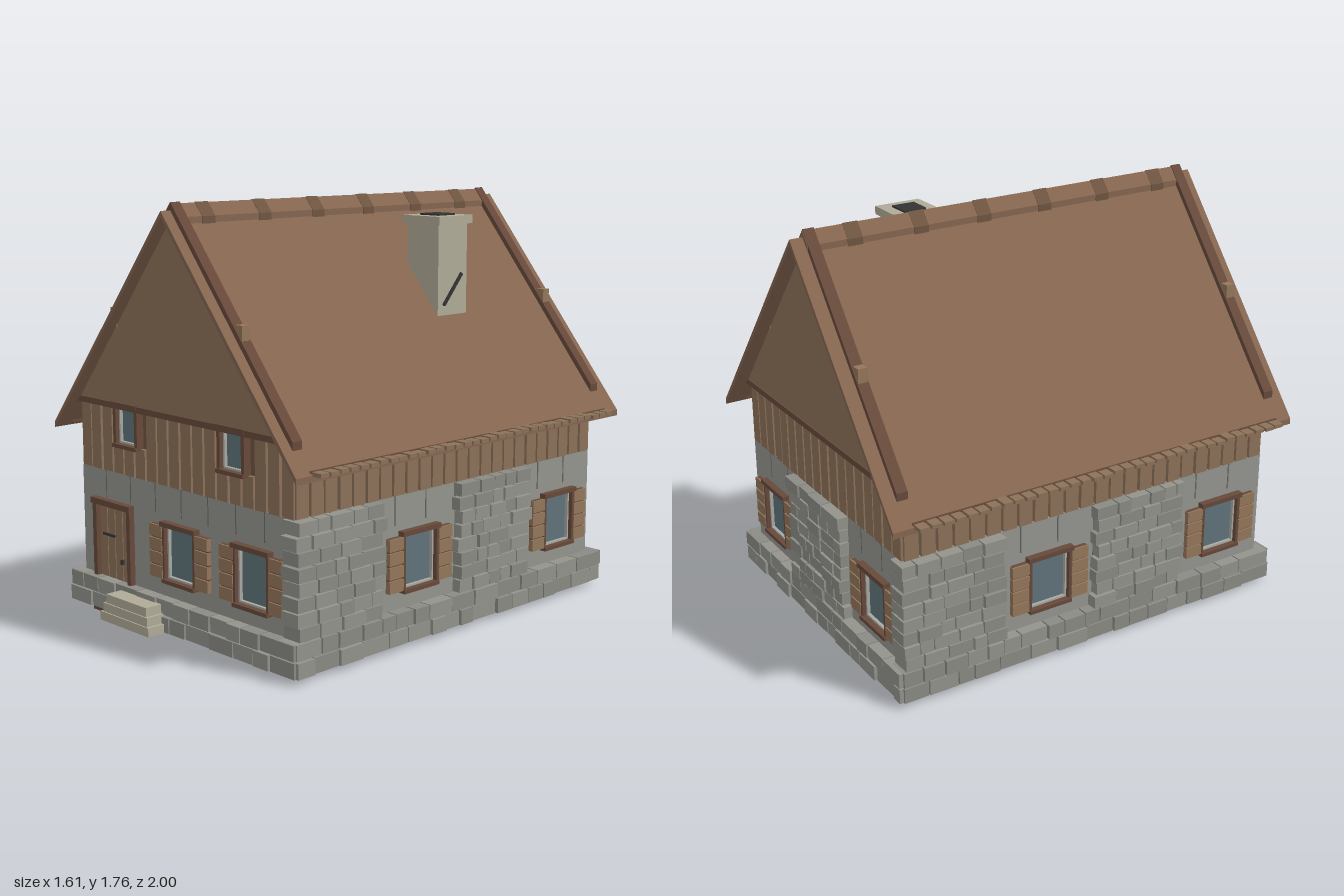
import * as THREE from 'three';

const mat = (color) => new THREE.MeshStandardMaterial({ color, flatShading: true });
const M = {
  wall: mat(0x95958f), stone: mat(0x8b8b85), stone2: mat(0x93938c), seam: mat(0x6c6c68),
  roof: mat(0x856650), timber: mat(0x8c7259), timberDark: mat(0x6f5541), frame: mat(0x67493a),
  slat: mat(0x94765a), cream: mat(0xb0ab98), glass: mat(0x60737a), pane: mat(0xa9a9a2), dark: mat(0x343434),
};
const ZC = -0.024; // middle of the house along z
const SLOPE = 1.22, RIDGE = 1.73;

let seed = 7;
const rnd = () => (seed = (seed * 16807) % 2147483647) / 2147483647;

// Box given by its limits on each axis
function box(parent, name, m, x0, x1, y0, y1, z0, z1) {
  const mesh = new THREE.Mesh(new THREE.BoxGeometry(x1 - x0, y1 - y0, z1 - z0), m);
  mesh.position.set((x0 + x1) / 2, (y0 + y1) / 2, (z0 + z1) / 2);
  mesh.name = name;
  parent.add(mesh);
  return mesh;
}

function extrude(parent, name, m, points, z0, z1, holes = []) {
  const shape = new THREE.Shape(points.map(([x, y]) => new THREE.Vector2(x, y)));
  for (const [x0, x1, y0, y1] of holes) {
    shape.holes.push(new THREE.Path([[x0, y0], [x0, y1], [x1, y1], [x1, y0]].map(([x, y]) => new THREE.Vector2(x, y))));
  }
  const mesh = new THREE.Mesh(new THREE.ExtrudeGeometry(shape, { depth: z1 - z0, bevelEnabled: false }), m);
  mesh.position.z = z0;
  mesh.name = name;
  parent.add(mesh);
  return mesh;
}

const rect = (x0, x1, y0, y1) => [[x0, y0], [x1, y0], [x1, y1], [x0, y1]];

// Courses of irregular blocks on the outside of a wall
function stonework(parent, name, u0, u1, y0, y1, rows, out, size) {
  const g = new THREE.Group();
  g.name = name;
  const h = (y1 - y0) / rows;
  for (let r = 0; r < rows; r++) {
    let u = u0 + rnd() * 0.02;
    const end = u1 - rnd() * 0.02;
    while (u < end - 0.01) {
      let next = u + size * (0.65 + rnd() * 0.7);
      if (end - next < size * 0.45) next = end;
      const y = y0 + r * h;
      box(g, 'stoneBlock', rnd() < 0.5 ? M.stone : M.stone2, u + 0.003, next - 0.003,
        y + 0.003, y + h - 0.003, -0.05, out - rnd() * 0.012);
      u = next;
    }
  }
  parent.add(g);
}

// Frame, pane border and glass around a centre
function windowUnit(parent, u, y, w, h, t, name) {
  const g = new THREE.Group();
  g.name = name;
  const a = w / 2, b = h / 2;
  box(g, 'glass', M.glass, -a, a, -b, b, -0.02, -0.01);
  for (const s of [-1, 1]) {
    const side = box(g, 'frameSide', M.frame, -t / 2, t / 2, -b, b, -0.03, 0.022);
    side.position.x = s * (a + t / 2);
    const pane = box(g, 'paneEdge', M.pane, -0.004, 0.004, -b, b, -0.02, 0.004);
    pane.position.x = s * (a - 0.004);
    const rail = box(g, 'paneRail', M.pane, -a, a, -0.004, 0.004, -0.02, 0.004);
    rail.position.y = s * (b - 0.004);
  }
  box(g, 'lintel', M.frame, -a - t - 0.008, a + t + 0.008, b, b + 0.02, -0.03, 0.03);
  box(g, 'sill', M.frame, -a - t, a + t, -b - 0.016, -b, -0.03, 0.03);
  g.position.set(u, y, 0);
  parent.add(g);
  return g;
}

function shutteredWindow(parent, u) {
  const g = windowUnit(parent, u, 0.345, 0.18, 0.22, 0.012, 'shutteredWindow');
  for (const s of [-1, 1]) {
    const shutter = new THREE.Group();
    shutter.name = 'shutter';
    box(shutter, 'shutterBack', M.frame, -0.037, 0.037, -0.11, 0.11, 0, 0.016);
    for (let i = 0; i < 4; i++) {
      const y = -0.112 + i * 0.057;
      box(shutter, 'shutterSlat', M.slat, -0.04, 0.04, y, y + 0.05, 0.002, 0.024);
    }
    shutter.position.x = s * 0.144;
    g.add(shutter);
  }
}

// One side of the house: masonry below, boarding above, plinth at the foot
function side(house, name, half, pos, rot, { windows, patches, attic = [], door }) {
  const g = new THREE.Group();
  g.name = name;
  g.position.set(...pos);
  g.rotation.y = rot;
  const holes = windows.map((u) => [u - 0.09, u + 0.09, 0.235, 0.455]);
  if (door) holes.push([door[0], door[1], 0.1, 0.47]);
  extrude(g, 'masonryWall', M.wall, rect(-half, half, 0.03, 0.62), -0.035, 0, holes);
  extrude(g, 'boardBacking', M.timberDark, rect(-half, half, 0.62, 0.91), -0.035, -0.012,
    attic.map((u) => [u - 0.062, u + 0.062, 0.76, 0.9]));
  // wall panel joints, above and below the openings
  const joints = Math.round(half * 2 / 0.17);
  for (let i = 1; i < joints; i++) {
    const u = -half + (i * 2 * half) / joints;
    const blocked = holes.some(([a, b]) => u > a - 0.1 && u < b + 0.1);
    box(g, 'panelJoint', M.seam, u - 0.003, u + 0.003, blocked ? 0.5 : 0.15, 0.62, -0.02, 0.002);
  }
  const n = Math.round(half * 2 / 0.074), p = (half * 2) / n;
  for (let i = 0; i < n; i++) {
    const u = -half + i * p;
    const cut = attic.some((c) => u + p > c - 0.075 && u < c + 0.075);
    box(g, 'wallBoard', M.timber, u + 0.006, u + p - 0.006, 0.62, cut ? 0.745 : 0.9, -0.012, 0.002 + rnd() * 0.004);
  }
  stonework(g, 'plinth', -half - 0.054, half + 0.054, 0.02, 0.158, 2, 0.056, 0.115);
  for (const [a, b] of patches) stonework(g, 'stonePatch', a, b, 0.155, 0.62, 8, 0.05, 0.095);
  for (const u of windows) shutteredWindow(g, u);
  for (const u of attic) windowUnit(g, u, 0.83, 0.125, 0.155, 0.018, 'atticWindow');
  house.add(g);
  return g;
}

// Strip following the roof pitch on one side (s = +1 or -1)
function slopeStrip(parent, name, m, s, x0, x1, top, bottom, z0, z1) {
  const y = (x) => RIDGE - SLOPE * x;
  extrude(parent, name, m, [[s * x0, y(x0) + top], [s * x1, y(x1) + top],
    [s * x1, y(x1) + bottom], [s * x0, y(x0) + bottom]], z0, z1);
}

export function createModel() {
  const house = new THREE.Group();
  house.name = 'house';

  // Four sides
  const front = side(house, 'frontSide', 0.67, [0, 0, 0.866], 0,
    { windows: [0, 0.44], patches: [], attic: [-0.337, 0.33], door: [-0.55, -0.34] });
  side(house, 'backSide', 0.67, [0, 0, -0.914], Math.PI, { windows: [-0.45, 0.45], patches: [[-0.265, 0.23]] });
  const long = { windows: [-0.224, 0.666], patches: [[-0.924, -0.444], [-0.024, 0.446]] };
  side(house, 'rightSide', 0.89, [0.67, 0, ZC], Math.PI / 2, long);
  side(house, 'leftSide', 0.89, [-0.67, 0, ZC], -Math.PI / 2, long);

  // Door with frame, planks and ironwork
  const door = new THREE.Group();
  door.name = 'door';
  box(door, 'doorBack', M.frame, -0.55, -0.34, 0.1, 0.47, -0.025, -0.012);
  for (let i = 0; i < 4; i++) {
    const u = -0.55 + i * 0.0525;
    box(door, 'doorPlank', M.timber, u + 0.002, u + 0.05, 0.1, 0.468, -0.015, 0.004);
  }
  box(door, 'doorPostLeft', M.frame, -0.575, -0.55, 0.1, 0.47, -0.03, 0.025);
  box(door, 'doorPostRight', M.frame, -0.34, -0.317, 0.1, 0.47, -0.03, 0.025);
  box(door, 'doorHead', M.frame, -0.583, -0.315, 0.47, 0.495, -0.03, 0.03);
  box(door, 'doorFoot', M.frame, -0.58, -0.315, 0, 0.022, -0.03, 0.03);
  box(door, 'hinge', M.dark, -0.525, -0.445, 0.336, 0.346, 0, 0.01);
  box(door, 'handle', M.dark, -0.397, -0.385, 0.23, 0.25, 0, 0.016);
  front.add(door);

  // Entrance steps
  for (let i = 0; i < 3; i++) {
    const inset = i * 0.014;
    box(house, 'entranceStep', M.cream, -0.385 + inset, -0.06 - inset, 0.02 + i * 0.038, 0.058 + i * 0.038, 0.9, 1 - i * 0.006);
  }

  // Gables with a tie beam below
  for (const s of [-1, 1]) {
    const z = ZC + s * 0.9;
    const top = RIDGE - 0.025, hw = (top - 0.92) / SLOPE;
    extrude(house, 'gable', M.timber, [[-hw, 0.92], [hw, 0.92], [0, top]], z - 0.012, z + 0.012);
    box(house, 'tieBeam', M.frame, -0.665, 0.665, 0.9, 0.925, z - 0.018, z + 0.018);
  }

  // Roof slopes, verge boards, ridge and eaves
  for (const s of [-1, 1]) {
    slopeStrip(house, 'roofSlope', M.roof, s, 0, 0.76, 0, -0.025, -1, 0.943);
    slopeStrip(house, 'ridgeCap', M.roof, s, 0, 0.042, 0.026, 0, -0.945, 0.89);
    for (let i = 0; i < 6; i++) {
      const z = 0.74 - i * 0.296;
      slopeStrip(house, 'ridgeTile', M.timberDark, s, 0, 0.045, 0.029, 0, z - 0.033, z + 0.033);
    }
    for (const e of [-1, 1]) {
      const z = ZC + e * 0.895;
      slopeStrip(house, 'vergeBoard', M.frame, s, 0, 0.69, 0.032, -0.02, z - 0.024, z + 0.024);
      box(house, 'purlinEnd', M.slat, s * 0.39 - 0.02, s * 0.39 + 0.02, 1.24, 1.32, z - 0.02, z + 0.02);
    }
    const eaves = new THREE.Group();
    eaves.name = 'eaves';
    const rail = box(eaves, 'eavesRail', M.frame, -0.008, 0.008, 0.792, 0.818, -0.914, 0.866);
    rail.position.x = s * 0.748;
    for (let i = 0; i < 34; i++) {
      const z = -0.914 + i * 0.0524, len = 0.05 + rnd() * 0.008, lift = rnd() * 0.006;
      const tab = box(eaves, 'eavesShingle', M.timber, -len / 2, len / 2, 0.797 + lift, 0.813 + lift, z + 0.004, z + 0.046);
      tab.position.x = s * (0.748 + len / 2);
    }
    house.add(eaves);
  }

  // Chimney
  const chimney = new THREE.Group();
  chimney.name = 'chimney';
  box(chimney, 'chimneyStack', M.cream, 0.212, 0.388, 1.22, 1.645, -0.397, -0.217);
  box(chimney, 'chimneyCap', M.cream, 0.193, 0.405, 1.64, 1.675, -0.412, -0.202);
  box(chimney, 'flue', M.dark, 0.246, 0.352, 1.66, 1.682, -0.36, -0.255);
  const strap = box(chimney, 'ironStrap', M.dark, 0.384, 0.398, 1.28, 1.292, -0.395, -0.225);
  strap.position.set(0.391, 1.365, -0.305);
  strap.rotation.x = 0.86;
  house.add(chimney);

  return house;
}
